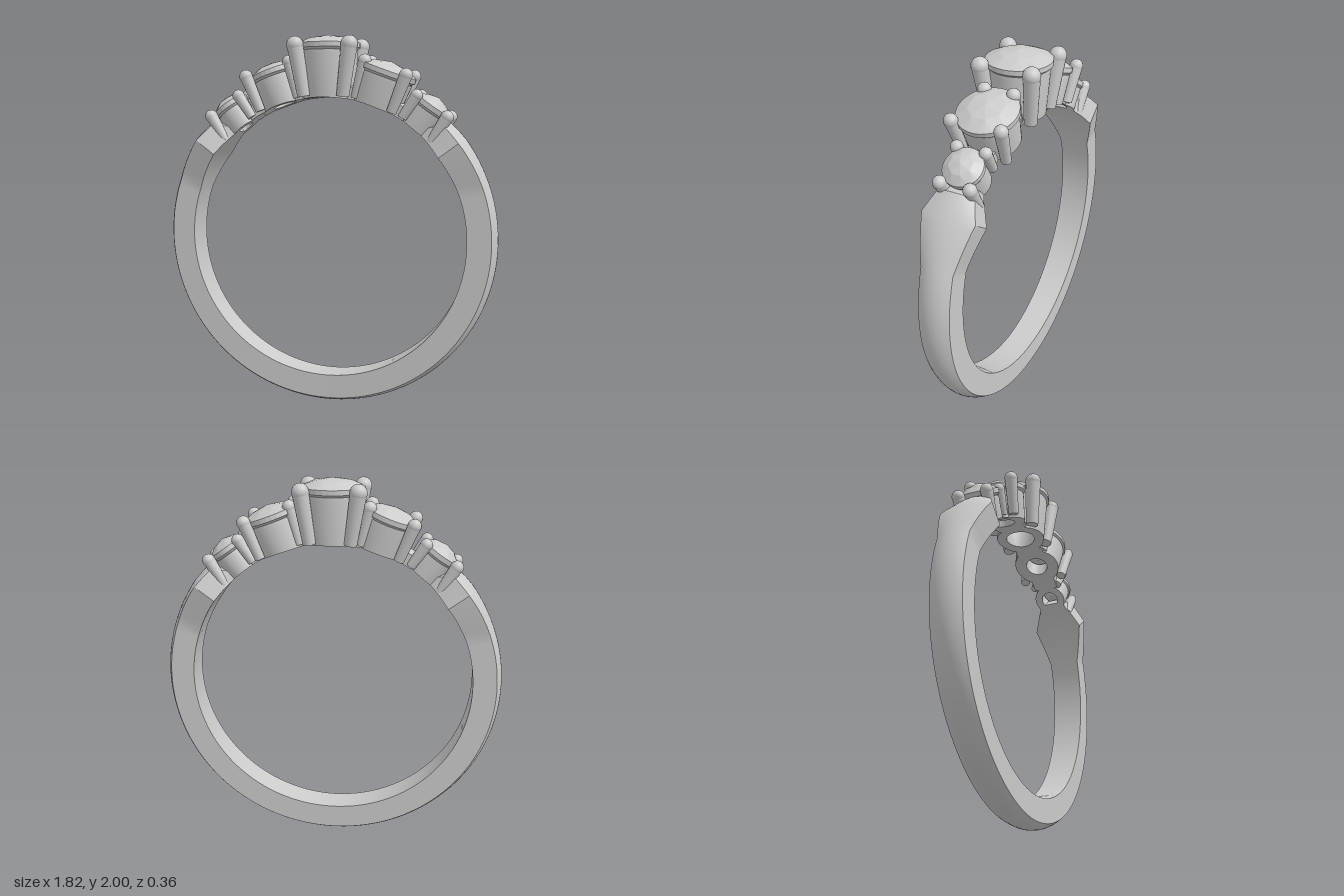
import * as THREE from 'three';
import { toCreasedNormals } from 'three/addons/utils/BufferGeometryUtils.js';
import { ConvexGeometry } from 'three/addons/geometries/ConvexGeometry.js';

const CY = 0.918;      // height of the finger hole's centre
const INNER = 0.756;   // finger hole radius
const DEG = Math.PI / 180;
const metal = new THREE.MeshStandardMaterial({ color: 0xcccccc });
const gem = new THREE.MeshStandardMaterial({ color: 0xcccccc, flatShading: true });

function add(parent, geometry, material, name) {
  const mesh = new THREE.Mesh(geometry, material);
  mesh.name = name;
  parent.add(mesh);
  return mesh;
}

// Linear lookup in rows of [angle, value, value]
function lookup(keys, a, column) {
  let i = 0;
  while (i < keys.length - 2 && a > keys[i + 1][0]) i++;
  const [p, q] = [keys[i], keys[i + 1]];
  const t = THREE.MathUtils.clamp((a - p[0]) / (q[0] - p[0]), 0, 1);
  return p[column] + (q[column] - p[column]) * t;
}

// Domed cross-section swept around the finger hole; angles in degrees from the top.
// keys: [angle, half width, shoulder radius]
function sweepBand(angles, keys, dome) {
  const pos = [], index = [], arcSteps = 8, n = arcSteps + 3;
  for (const a of angles) {
    const d = Math.abs(a) > 180 ? 360 - a : Math.abs(a);
    const w = lookup(keys, d, 1), shoulder = lookup(keys, d, 2);
    const ring = [[INNER, w], [INNER, -w]];
    for (let i = 0; i <= arcSteps; i++) {
      const u = (i / arcSteps) * 2 - 1;
      ring.push([shoulder + dome * (1 - u * u), u * w]);
    }
    for (const [r, z] of ring) pos.push(r * Math.sin(a * DEG), CY + r * Math.cos(a * DEG), z);
  }
  for (let s = 0; s < angles.length - 1; s++) {
    for (let i = 0; i < n; i++) {
      const j = (i + 1) % n, a = s * n + i, b = s * n + j;
      index.push(a, b, a + n, b, b + n, a + n);
    }
  }
  const last = (angles.length - 1) * n;
  for (let i = 1; i < n - 1; i++) {
    index.push(0, i + 1, i);
    index.push(last, last + i, last + i + 1);
  }
  const g = new THREE.BufferGeometry();
  g.setAttribute('position', new THREE.Float32BufferAttribute(pos, 3));
  g.setIndex(index);
  return toCreasedNormals(g, 25 * DEG);
}

// Faceted stone: girdle, crown ring, apex and pavilion point
function stoneGeometry(R, h) {
  const pts = [new THREE.Vector3(0, 0.025 + h, 0), new THREE.Vector3(0, -R * 0.75, 0)];
  const ring = (count, r, y, turn) => {
    for (let i = 0; i < count; i++) {
      const a = ((i + turn) / count) * Math.PI * 2;
      pts.push(new THREE.Vector3(Math.cos(a) * r, y, Math.sin(a) * r));
    }
  };
  ring(32, R, 0, 0);
  ring(32, R, 0.025, 0);
  ring(8, R * 0.6, 0.025 + h * 0.66, 0.5);
  return new ConvexGeometry(pts);
}

// A stone in its cup with four claws. The local origin is the girdle centre.
// claws: rows of [x, z, top height, foot x, foot z, tip radius]
function makeSetting({ name, x, y, tilt, R, crown, rimR, footR, hole, claws }) {
  const group = new THREE.Group();
  group.name = name;
  group.position.set(x, y, 0);
  group.rotation.z = -tilt * DEG;

  // Finger hole centre in local coordinates; feet are trimmed to that curve
  const c = new THREE.Vector2(-x, CY - y).rotateAround(new THREE.Vector2(), tilt * DEG);
  const floorAt = (t) => c.y + Math.sqrt(INNER * INNER - (t - c.x) ** 2);

  add(group, stoneGeometry(R, crown), gem, 'stone');

  const mid = floorAt(0) + 0.09;
  const profile = [[hole, -9], [footR, -9], [rimR, -0.03], [rimR, -0.012], [rimR - 0.015, -0.012],
    [hole, Math.min(mid, -0.06)], [hole, -9]].map(([r, h]) => new THREE.Vector2(r, h));
  const cup = new THREE.LatheGeometry(profile, 40);
  const p = cup.attributes.position;
  for (let i = 0; i < p.count; i++) if (p.getY(i) < -8) p.setY(i, floorAt(p.getX(i)));
  add(group, toCreasedNormals(cup, 35 * DEG), metal, 'cup');

  for (const [cx, cz, top, fx, fz, r] of claws) {
    for (const side of [1, -1]) {
      const tip = new THREE.Vector3(cx, top, cz * side);
      const foot = new THREE.Vector3(fx, floorAt(fx) + 0.012, fz * side);
      const dir = tip.clone().sub(foot);
      const claw = add(group, new THREE.CylinderGeometry(r, r * 0.78, dir.length(), 18), metal, 'claw');
      claw.position.copy(tip).add(foot).multiplyScalar(0.5);
      claw.quaternion.setFromUnitVectors(new THREE.Vector3(0, 1, 0), dir.normalize());
      add(group, new THREE.SphereGeometry(r * 1.04, 18, 12), metal, 'clawTip').position.copy(tip);
    }
  }
  return group;
}

export function createModel() {
  const ring = new THREE.Group();
  ring.name = 'ring';

  // Shank: flares into shoulders, then narrows below the outer stones
  const shankKeys = [[41, 0.07, 0.79], [44.5, 0.085, 0.85], [46, 0.098, 0.875], [53.5, 0.142, 0.882],
    [70, 0.086, 0.882], [90, 0.085, 0.882], [180, 0.075, 0.885]];
  const half = [41, 44.5, 46, 48, 50, 53.5, 56, 59, 62, 66];
  for (let a = 70; a < 180; a += 2.5) half.push(a);
  const around = [...half, 180, ...half.slice().reverse().map((a) => 360 - a)];
  add(ring, sweepBand(around, shankKeys, 0.028), metal, 'shank');

  // Small bridges joining neighbouring cups
  for (const [from, to, w] of [[9, 14, 0.08], [26, 33, 0.07]]) {
    const steps = [0, 1, 2, 3, 4].map((i) => from + ((to - from) * i) / 4);
    const keys = [[from, w, 0.82], [to, w, 0.82]];
    add(ring, sweepBand(steps, keys, 0.01), metal, 'bridge');
    add(ring, sweepBand(steps.map((a) => -a).reverse(), keys, 0.01), metal, 'bridge');
  }

  // Centre stone
  ring.add(makeSetting({
    name: 'centreSetting', x: 0, y: 1.93, tilt: 0, R: 0.168, crown: 0.045,
    rimR: 0.155, footR: 0.135, hole: 0.08,
    claws: [1, -1].map((s) => [0.145 * s, 0.138, 0.012, 0.105 * s, 0.115, 0.043]),
  }));

  // Side stones, getting smaller outwards; the +x inner one is slightly larger
  for (const s of [1, -1]) {
    const k = s > 0 ? 1.1 : 1;
    ring.add(makeSetting({
      name: 'sideSetting', x: s > 0 ? 0.315 : -0.3, y: 1.79, tilt: 20 * s, R: 0.14 * k, crown: 0.045,
      rimR: 0.13 * k, footR: 0.118 * k, hole: 0.062,
      claws: [[0.118 * s, 0.12 * k, 0.035, 0.11 * s, 0.105 * k, 0.034],
        [-0.12 * s, 0.078, 0.03, -0.1 * s, 0.07, 0.034]],
    }));
    ring.add(makeSetting({
      name: 'outerSetting', x: 0.548 * s, y: 1.613, tilt: 35 * s, R: 0.102, crown: 0.045,
      rimR: 0.095, footR: 0.09, hole: 0.048,
      claws: [[0.1 * s, 0.08, 0.02, 0.108 * s, 0.078, 0.033],
        [-0.092 * s, 0.076, 0.02, -0.088 * s, 0.07, 0.031]],
    }));
  }
  return ring;
}
